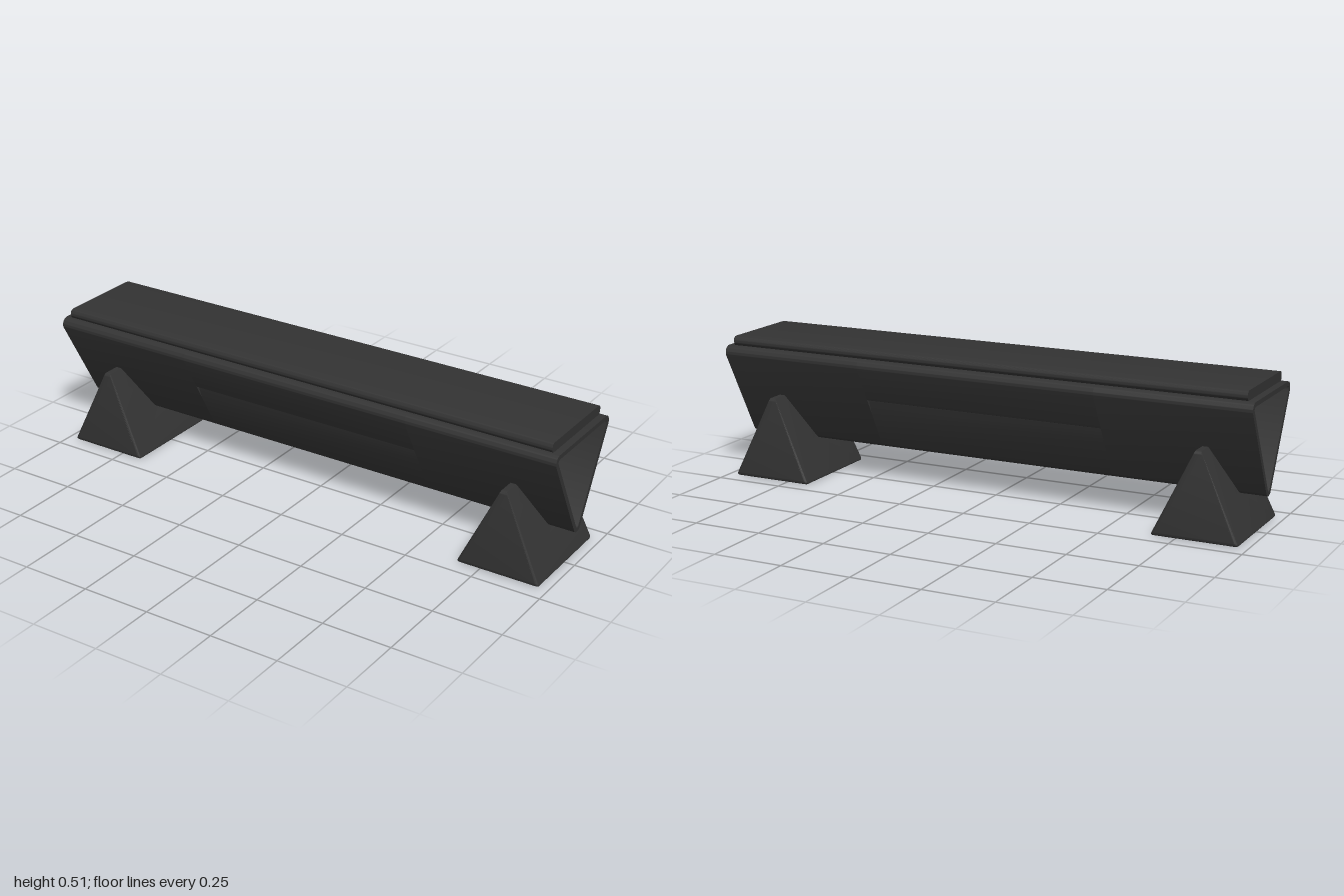
import * as THREE from 'three';
import { toCreasedNormals } from 'three/addons/utils/BufferGeometryUtils.js';

const material = new THREE.MeshStandardMaterial({ color: 0x333333 });
const LEAN = Math.atan(0.542); // lean of the beam walls from vertical
const TOP = { z: 0.164, y: 0.455 }; // centre of the upper corner arcs
const LOW = { z: 0, y: 0.1525 }; // centre of the bottom arc

// Extrudes a (z, y) profile along x, from x0 to x1
function extrudeX(shape, x0, x1, options = {}) {
  const geometry = new THREE.ExtrudeGeometry(shape, {
    depth: x1 - x0, bevelEnabled: false, curveSegments: 10, ...options,
  });
  geometry.rotateY(Math.PI / 2);
  geometry.translate(x0, 0, 0);
  return geometry;
}

function addMesh(parent, name, geometry) {
  const mesh = new THREE.Mesh(toCreasedNormals(geometry, 0.6), material);
  mesh.name = name;
  parent.add(mesh);
  return mesh;
}

// Closed polygon with softened corners; each point is [z, y, softening]
function softPolygon(points) {
  const shape = new THREE.Shape();
  const v = points.map(([z, y]) => new THREE.Vector2(z, y));
  v.forEach((corner, i) => {
    const d = points[i][2];
    const towards = (p) => p.clone().sub(corner).setLength(d).add(corner);
    const a = towards(v[(i + v.length - 1) % v.length]);
    const b = towards(v[(i + 1) % v.length]);
    if (i) shape.lineTo(a.x, a.y);
    else shape.moveTo(a.x, a.y);
    shape.quadraticCurveTo(corner.x, corner.y, b.x, b.y);
  });
  shape.closePath();
  return shape;
}

// Rounded V-shaped triangle of corner radius r, optionally with wedge grooves
function traceTriangle(path, r, grooved) {
  const grooveLine = (side, list) => list.forEach(([y, depth]) =>
    path.lineTo(side * ((y - 0.1) * 0.542 - depth), y));
  const groove = [[0.27, 0], [0.318, 0.011], [0.322, 0]];
  path.absarc(LOW.z, LOW.y, r, Math.PI + LEAN, 2 * Math.PI - LEAN, false);
  if (grooved) grooveLine(1, groove);
  path.absarc(TOP.z, TOP.y, r, -LEAN, Math.PI / 2, false);
  path.absarc(-TOP.z, TOP.y, r, Math.PI / 2, Math.PI + LEAN, false);
  if (grooved) grooveLine(-1, [...groove].reverse());
  path.closePath();
  return path;
}

function beamProfile(grooved) {
  const shape = traceTriangle(new THREE.Shape(), 0.025, grooved);
  shape.holes.push(traceTriangle(new THREE.Path(), 0.009, false));
  return shape;
}

// Prism foot: notched trapezoid whose width narrows to a ridge at the top
function footGeometry() {
  const profile = softPolygon([
    [-0.197, 0, 0.014], [0.197, 0, 0.014], [0.175, 0.3, 0.012], [0.098, 0.3, 0.012],
    [0, 0.119, 0.04], [-0.098, 0.3, 0.012], [-0.175, 0.3, 0.012],
  ]);
  const geometry = extrudeX(profile, -0.142, 0.142, {
    bevelEnabled: true, bevelSize: 0.008, bevelOffset: -0.008,
    bevelThickness: 0.012, bevelSegments: 4, curveSegments: 6,
  });
  const p = geometry.attributes.position;
  for (let i = 0; i < p.count; i++) {
    p.setX(i, p.getX(i) * (1 - 0.93 * p.getY(i) / 0.3));
  }
  return geometry;
}

export function createModel() {
  const model = new THREE.Group();
  model.name = 'bench';

  // Hollow beam: plain ends and a middle stretch with finger grooves
  const beam = new THREE.Group();
  beam.name = 'beam';
  model.add(beam);
  addMesh(beam, 'beamRight', extrudeX(beamProfile(false), -1, -0.45));
  addMesh(beam, 'beamMiddle', extrudeX(beamProfile(true), -0.45, 0.45));
  addMesh(beam, 'beamLeft', extrudeX(beamProfile(false), 0.45, 1));

  // Seat pad with rounded long edges
  const pad = softPolygon([
    [-0.17, 0.479, 0.016], [0.17, 0.479, 0.016], [0.17, 0.514, 0.016], [-0.17, 0.514, 0.016],
  ]);
  addMesh(model, 'seatPad', extrudeX(pad, -0.975, 0.975));

  // Two feet
  for (const side of [-1, 1]) {
    const foot = addMesh(model, side > 0 ? 'leftFoot' : 'rightFoot', footGeometry());
    foot.position.x = side * 0.815;
  }
  return model;
}
